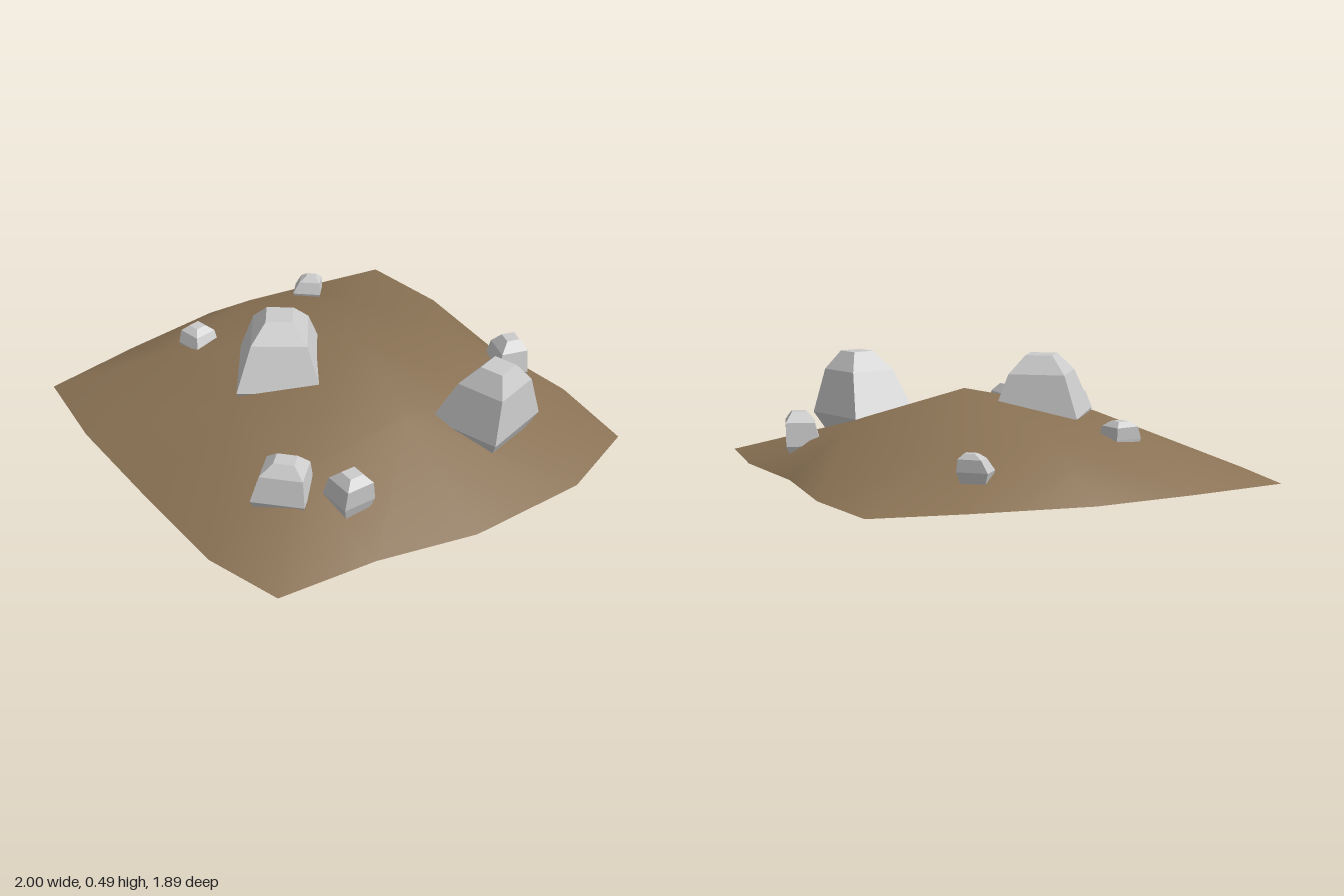
import * as THREE from 'three';
import { ConvexGeometry } from 'three/addons/geometries/ConvexGeometry.js';

const FLOOR = 0.01;

// Rim of the mound as [x, z], clockwise from the back left corner, four steps per side
const RIM = [
  [-0.87, -0.9], [-0.48, -0.95], [-0.01, -0.91], [0.44, -0.95],
  [0.84, -0.9], [0.99, -0.53], [1, 0], [0.9, 0.42],
  [0.86, 0.85], [0.52, 0.94], [0.02, 0.935], [-0.48, 0.92],
  [-0.88, 0.86], [-0.95, 0.42], [-1, -0.03], [-0.94, -0.52],
].map(([x, z]) => [x, FLOOR, z]);

// Raised ring inside the rim as [x, y, z], two steps per side, and the peak
const RIDGE = [
  [-0.5, 0.15, -0.5], [0.02, 0.21, -0.65], [0.45, 0.16, -0.5], [0.45, 0.235, -0.07],
  [0.45, 0.175, 0.45], [-0.04, 0.22, 0.45], [-0.62, 0.165, 0.45], [-0.71, 0.21, -0.07],
];
const PEAK = [-0.01, 0.345, -0.145];

function meshGeometry(points, index) {
  const g = new THREE.BufferGeometry();
  g.setAttribute('position', new THREE.Float32BufferAttribute(points.flat(), 3));
  g.setIndex(index);
  g.computeVertexNormals();
  return g;
}

// Smooth upper surface: rim to ridge side by side, then ridge to peak
function moundTop() {
  const index = [];
  const peak = RIM.length + RIDGE.length;
  const rim = (k) => k % RIM.length;
  const ridge = (k) => RIM.length + (k % RIDGE.length);
  for (let side = 0; side < 4; side++) {
    const [r0, r1, r2, r3, r4] = [0, 1, 2, 3, 4].map((k) => rim(side * 4 + k));
    const [i0, i1, i2] = [0, 1, 2].map((k) => ridge(side * 2 + k));
    index.push(r0, i0, r1, r1, i0, i1, r1, i1, r2, r2, i1, r3, r3, i1, i2, r3, i2, r4);
    index.push(i0, peak, i1, i1, peak, i2);
  }
  return meshGeometry([...RIM, ...RIDGE, PEAK], index);
}

// Flat underside as a fan inside the rim
function moundBottom() {
  const n = RIM.length;
  const index = RIM.flatMap((_, k) => [n, k, (k + 1) % n]);
  return meshGeometry([...RIM, [0, FLOOR, 0]], index);
}

// Faceted rock: four-cornered rings for buried foot, base, shoulder and bevelled top
function rockGeometry({ at, size, yaw, y, lean, taper, foot = 0.02 }) {
  const [base, top] = y;
  const points = [];
  const ring = (height, scale, shift) => {
    for (const [sx, sz] of [[-1, -1], [1, -1], [1, 1], [-1, 1]]) {
      const p = new THREE.Vector3(sx * size[0] * scale / 2, height, sz * size[1] * scale / 2);
      p.applyAxisAngle(THREE.Object3D.DEFAULT_UP, -THREE.MathUtils.degToRad(yaw));
      p.x += at[0] + lean[0] * shift;
      p.z += at[1] + lean[1] * shift;
      points.push(p);
    }
  };
  ring(foot, 0.5, 0);
  ring(base, 1, 0);
  ring(THREE.MathUtils.lerp(base, top, 0.7), taper, 0.75);
  ring(top, taper * 0.48, 1);
  return new ConvexGeometry(points);
}

// at: [x, z], size: [width, depth], yaw in degrees, y: [base, top]
const ROCKS = {
  centreBoulder: { at: [-0.125, 0.163], size: [0.37, 0.355], yaw: 36, y: [0.24, 0.49], lean: [-0.03, -0.02], taper: 0.66, foot: 0 },
  tallBoulder: { at: [0.573, -0.381], size: [0.32, 0.32], yaw: -16, y: [0.18, 0.45], lean: [0.055, -0.01], taper: 0.67 },
  frontBoulder: { at: [0.46, 0.557], size: [0.22, 0.175], yaw: -43, y: [0.13, 0.28], lean: [0, -0.02], taper: 0.8, foot: 0 },
  sideStone: { at: [0.641, 0.363], size: [0.15, 0.145], yaw: 0, y: [0.14, 0.26], lean: [0.02, 0], taper: 0.85 },
  backStone: { at: [0.257, -0.764], size: [0.155, 0.145], yaw: 17, y: [0.11, 0.25], lean: [0, -0.02], taper: 0.82 },
  smallBackStone: { at: [-0.745, -0.41], size: [0.125, 0.09], yaw: -48, y: [0.13, 0.2], lean: [0, -0.02], taper: 0.75 },
  smallFrontStone: { at: [-0.579, 0.289], size: [0.12, 0.12], yaw: -10, y: [0.19, 0.26], lean: [-0.02, -0.01], taper: 0.85 },
};

export function createModel() {
  const model = new THREE.Group();
  model.name = 'rockyMound';
  const soil = new THREE.MeshStandardMaterial({ color: 0x8b7355 });
  const stone = new THREE.MeshStandardMaterial({ color: 0xcccccc, flatShading: true });
  const add = (name, geometry, material) => {
    const mesh = new THREE.Mesh(geometry, material);
    mesh.name = name;
    model.add(mesh);
  };
  add('moundTop', moundTop(), soil);
  add('moundBottom', moundBottom(), soil);
  for (const [name, rock] of Object.entries(ROCKS)) add(name, rockGeometry(rock), stone);
  return model;
}
